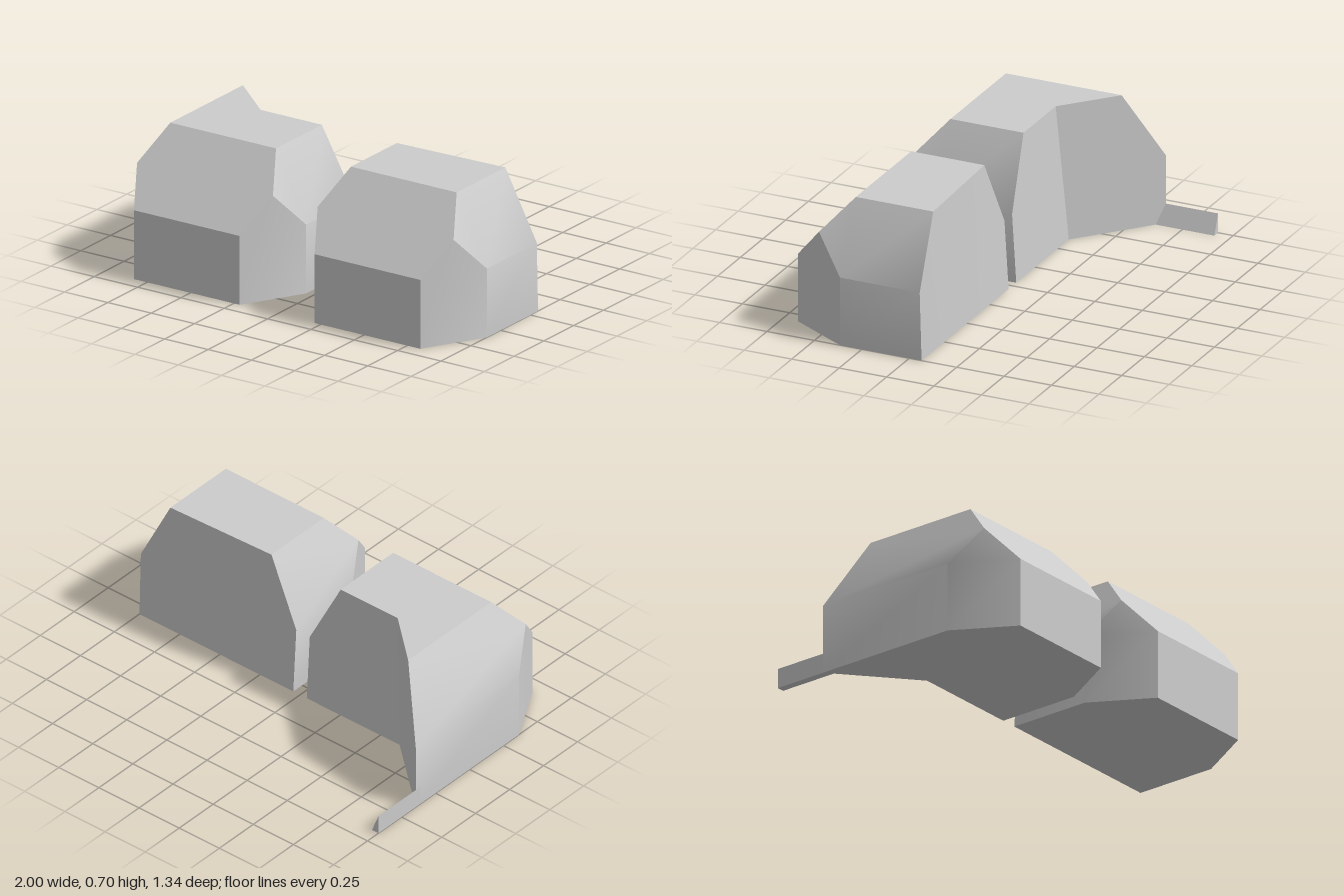
import * as THREE from 'three';
import { toCreasedNormals } from 'three/addons/utils/BufferGeometryUtils.js';

const grey = new THREE.MeshStandardMaterial({ color: 0xcccccc });
grey.name = 'plain grey';

// Solid from named corners and polygon faces (each cut as a fan from its first corner).
function solid(name, corners, faces) {
  const position = [];
  for (const face of faces) {
    for (let i = 1; i < face.length - 1; i++) {
      for (const key of [face[0], face[i], face[i + 1]]) position.push(...corners[key]);
    }
  }
  const geometry = new THREE.BufferGeometry();
  geometry.setAttribute('position', new THREE.Float32BufferAttribute(position, 3));
  const mesh = new THREE.Mesh(toCreasedNormals(geometry, 0.6), grey);
  mesh.name = name;
  return mesh;
}

// Chamfered block: symmetrical front, with its own rear corners.
function block(name, cx, rear) {
  const p = { ...rear };
  for (const [side, s] of [['L', 1], ['R', -1]]) {
    const inner = cx + s * 0.305, outer = cx + s * 0.479;
    p['a' + side] = [inner, 0, 0.67];                     // front foot
    p['b' + side] = [inner, 0.35, 0.67];                  // front brow
    p['c' + side] = [inner, 0.7, 0.365];                  // roof front
    p['m' + side] = [cx + s * 0.392, 0.525, 0.5175];      // where three bevels meet
    p['d' + side] = [outer, 0.35, 0.365];                 // side wall top
    p['e' + side] = [outer, 0, 0.365];                    // side wall foot
  }
  const faces = [
    ['aR', 'aL', 'bL', 'bR'],                             // front wall
    ['bR', 'bL', 'mL', 'cL', 'cR', 'mR'],                 // front slope
    ['top', 'hR', 'cR', 'cL', 'hL'],                      // roof
    ['foot', 'fL', 'eL', 'aL', 'aR', 'eR', 'fR'],         // underside
    ['foot', 'top', 'hL', 'gL', 'fL'],                    // rear, left part
    ['foot', 'fR', 'gR', 'hR', 'top'],                    // rear, right part
  ];
  // corner bevel, side wall and side slope, mirrored
  for (const keys of ['aedmb', 'efgd', 'dghcm']) {
    faces.push([...keys].map(k => k + 'L'));
    faces.push([...keys].reverse().map(k => k + 'R'));
  }
  return solid(name, p, faces);
}

export function createModel() {
  const group = new THREE.Group();
  group.name = 'pairOfBlocks';

  group.add(block('leftBlock', 0.521, {
    fL: [1, 0, -0.065], gL: [1, 0.35, -0.055], hL: [0.826, 0.7, -0.043],
    fR: [0.042, 0, -0.065], gR: [0.042, 0.35, -0.043], hR: [0.216, 0.7, -0.02],
    foot: [0.521, 0, -0.065], top: [0.521, 0.7, -0.0315],
  }));

  // The right block has a slanted wing at its rear outer corner
  group.add(block('rightBlock', -0.521, {
    fL: [-0.042, 0, -0.065], gL: [-0.042, 0.35, -0.043], hL: [-0.216, 0.7, -0.02],
    fR: [-1, 0, -0.395], gR: [-1, 0.35, -0.395], hR: [-0.826, 0.7, -0.245],
    foot: [-0.62, 0, -0.065], top: [-0.57, 0.7, -0.02],
  }));

  // Low wedge-shaped rail running back from the right block
  const rail = {};
  for (const [end, z] of [['0', -0.36], ['1', -0.67]]) {
    rail['o' + end] = [-1, 0, z];
    rail['i' + end] = [-0.96, 0, z];
    rail['t' + end] = [-1, 0.1, z];
  }
  group.add(solid('rearRail', rail, [
    ['o0', 'i0', 't0'], ['o1', 't1', 'i1'],
    ['o0', 'o1', 'i1', 'i0'], ['i0', 'i1', 't1', 't0'], ['o1', 'o0', 't0', 't1'],
  ]));
  return group;
}
